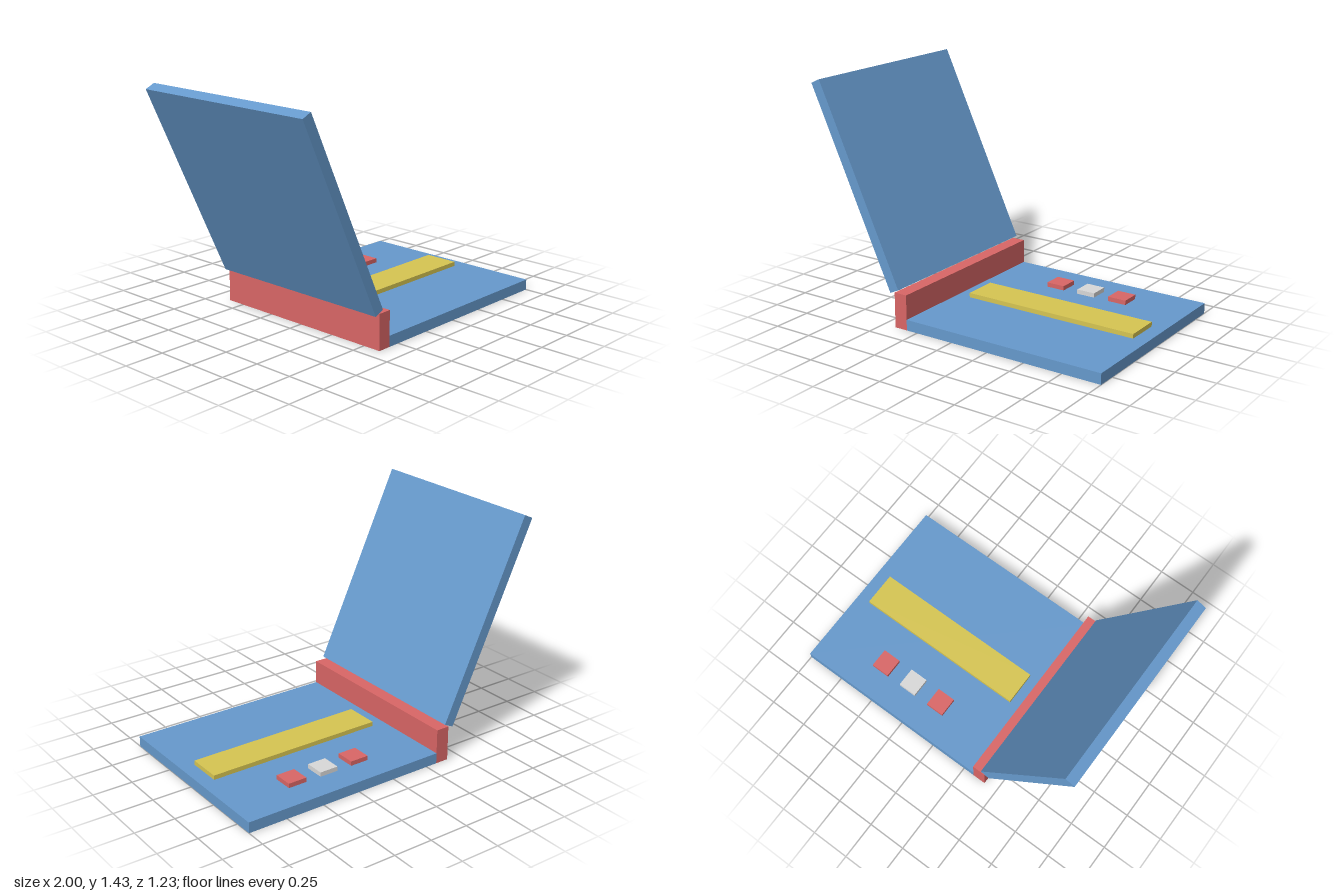
import * as THREE from 'three';

export function createModel() {
  const model = new THREE.Group();
  model.name = 'openCase';

  const paint = (name, color) => {
    const m = new THREE.MeshStandardMaterial({ color });
    m.name = name;
    return m;
  };
  const blue = paint('blue', 0x6699cc);
  const red = paint('red', 0xd96666);
  const yellow = paint('yellow', 0xd6c552);
  const grey = paint('lightGrey', 0xd8d8d8);

  const box = (name, material, size, position) => {
    const mesh = new THREE.Mesh(new THREE.BoxGeometry(...size), material);
    mesh.name = name;
    mesh.position.set(...position);
    model.add(mesh);
    return mesh;
  };

  const depth = 1.234;
  const baseTop = 0.067;
  const raised = 0.028;

  // Base slab and the upright hinge bar at its left end
  box('base', blue, [1.325, baseTop, depth], [0.3375, baseTop / 2, 0]);
  box('hingeBar', red, [0.086, 0.22, depth], [-0.368, 0.11, 0]);

  // Lid leaning back from the hinge bar
  const lid = box('lid', blue, [0.066, 1.318, depth], [-0.692, 0.822, 0]);
  lid.rotation.z = THREE.MathUtils.degToRad(25);

  // Raised bar and row of three buttons on the base
  const y = baseTop + raised / 2;
  box('raisedBar', yellow, [1.147, raised, 0.22], [0.3365, y, 0]);
  [red, grey, red].forEach((material, i) => {
    box(`button${i + 1}`, material, [0.121, raised, 0.124], [0.117 + i * 0.22, y, -0.378]);
  });

  return model;
}
